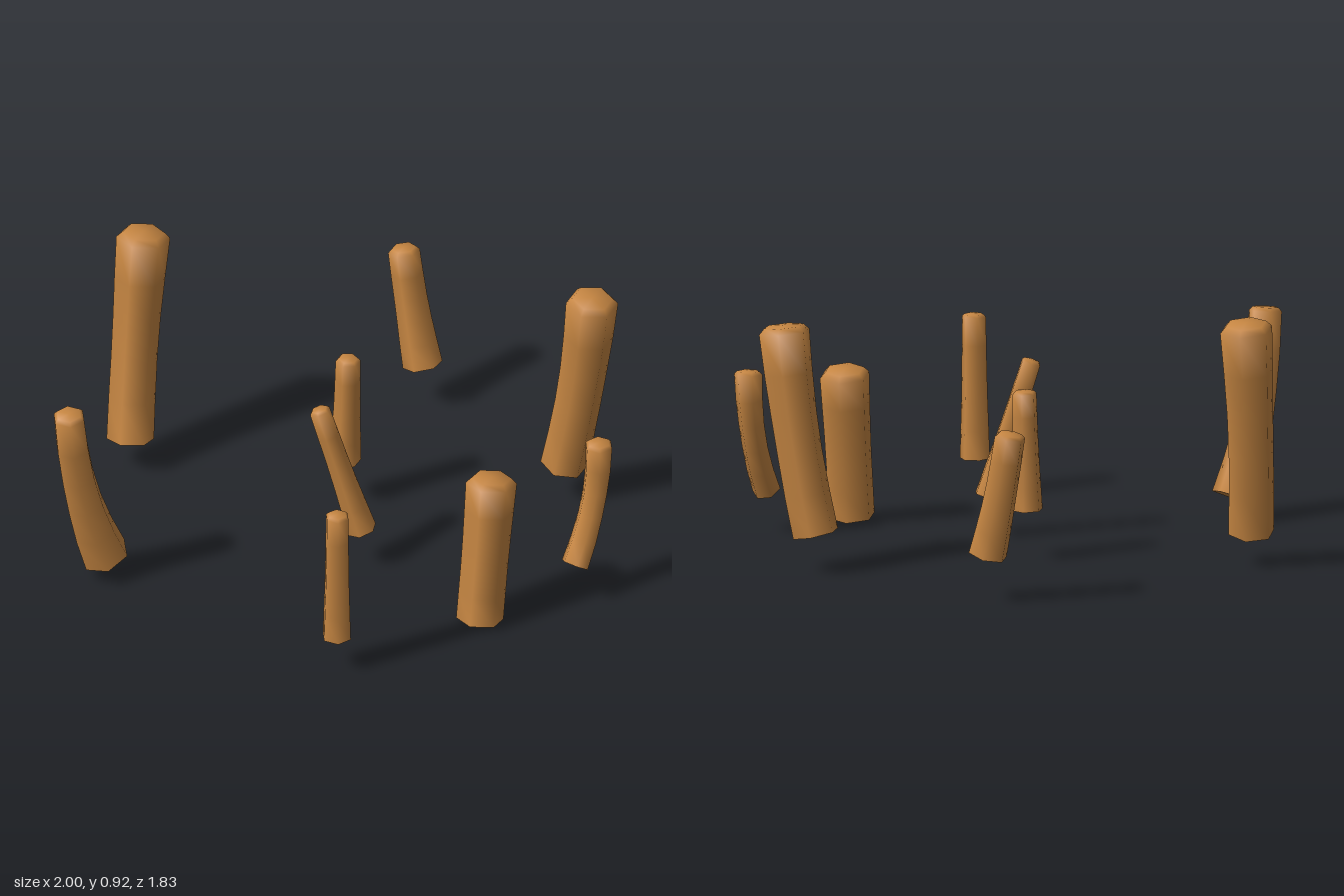
import * as THREE from 'three';
import { toCreasedNormals } from 'three/addons/utils/BufferGeometryUtils.js';

const SIDES = 6;
const RINGS = 5;
const P = (x, y, z) => new THREE.Vector3(x, y, z);

// Bent six-sided post: a lathed profile swept along a curve from base through mid to top.
function postGeometry({ base, mid, top, r, turn = 0 }) {
  const control = mid.clone().multiplyScalar(2).addScaledVector(base, -0.5).addScaledVector(top, -0.5);
  const curve = new THREE.QuadraticBezierCurve3(base, control, top);
  const [rBase, rMid, rTop] = r;

  // Profile height 0..1 runs along the curve; anything above 1 is the bevelled crown
  const profile = [new THREE.Vector2(0, 0)];
  for (let i = 0; i <= RINGS; i++) {
    const t = i / RINGS;
    const radius = t < 0.5
      ? THREE.MathUtils.lerp(rBase, rMid, t * 2)
      : THREE.MathUtils.lerp(rMid, rTop, t * 2 - 1);
    profile.push(new THREE.Vector2(radius, t));
  }
  profile.push(new THREE.Vector2(rTop * 0.78, 1 + rTop * 0.22));
  profile.push(new THREE.Vector2(0, 1 + rTop * 0.26));

  const geometry = new THREE.LatheGeometry(profile, SIDES, turn);
  const pos = geometry.attributes.position;
  const up = P(0, 1, 0);
  const q = new THREE.Quaternion();
  const v = P(0, 0, 0);
  for (let i = 0; i < pos.count; i++) {
    v.fromBufferAttribute(pos, i);
    const t = Math.min(v.y, 1);
    v.y -= t;
    q.setFromUnitVectors(up, curve.getTangent(t));
    v.applyQuaternion(q).add(curve.getPoint(t));
    pos.setXYZ(i, v.x, v.y, v.z);
  }
  return toCreasedNormals(geometry, THREE.MathUtils.degToRad(72));
}

export function createModel() {
  const group = new THREE.Group();
  group.name = 'woodenPosts';
  const wood = new THREE.MeshStandardMaterial({ color: 0xc68642 });
  wood.name = 'wood';
  const FLAT = Math.PI / 6;

  const posts = {
    tallRightPost: { base: P(-0.9, 0.12, -0.02), mid: P(-0.917, 0.5, -0.1), top: P(-0.915, 0.89, -0.162), r: [0.085, 0.083, 0.097] },
    frontRightPost: { base: P(-0.683, 0.09, 0.66), mid: P(-0.735, 0.4, 0.75), top: P(-0.756, 0.745, 0.81), r: [0.09, 0.067, 0.06], turn: FLAT },
    backPost: { base: P(-0.125, 0.17, -0.828), mid: P(-0.175, 0.39, -0.848), top: P(-0.214, 0.61, -0.862), r: [0.072, 0.06, 0.057] },
    middlePost: { base: P(-0.105, 0.185, -0.13), mid: P(-0.1, 0.4, -0.132), top: P(-0.095, 0.608, -0.132), r: [0.057, 0.048, 0.045] },
    leaningPost: { base: P(0.118, 0.15, 0.21), mid: P(0.047, 0.39, 0.232), top: P(-0.029, 0.638, 0.25), r: [0.054, 0.042, 0.038], turn: FLAT / 2 },
    slimFrontPost: { base: P(0.322, 0.14, 0.863), mid: P(0.325, 0.4, 0.868), top: P(0.328, 0.655, 0.872), r: [0.055, 0.047, 0.044], turn: FLAT },
    tallLeftPost: { base: P(0.585, 0.14, -0.495), mid: P(0.655, 0.5, -0.49), top: P(0.704, 0.868, -0.478), r: [0.085, 0.083, 0.094] },
    frontLeftPost: { base: P(0.658, 0.018, 0.375), mid: P(0.662, 0.28, 0.335), top: P(0.665, 0.548, 0.292), r: [0.085, 0.085, 0.092] },
    bentLeftPost: { base: P(0.908, 0.157, 0.108), mid: P(0.934, 0.37, 0.012), top: P(0.945, 0.602, -0.016), r: [0.052, 0.046, 0.052], turn: FLAT },
  };

  for (const [name, spec] of Object.entries(posts)) {
    const mesh = new THREE.Mesh(postGeometry(spec), wood);
    mesh.name = name;
    group.add(mesh);
  }
  return group;
}
